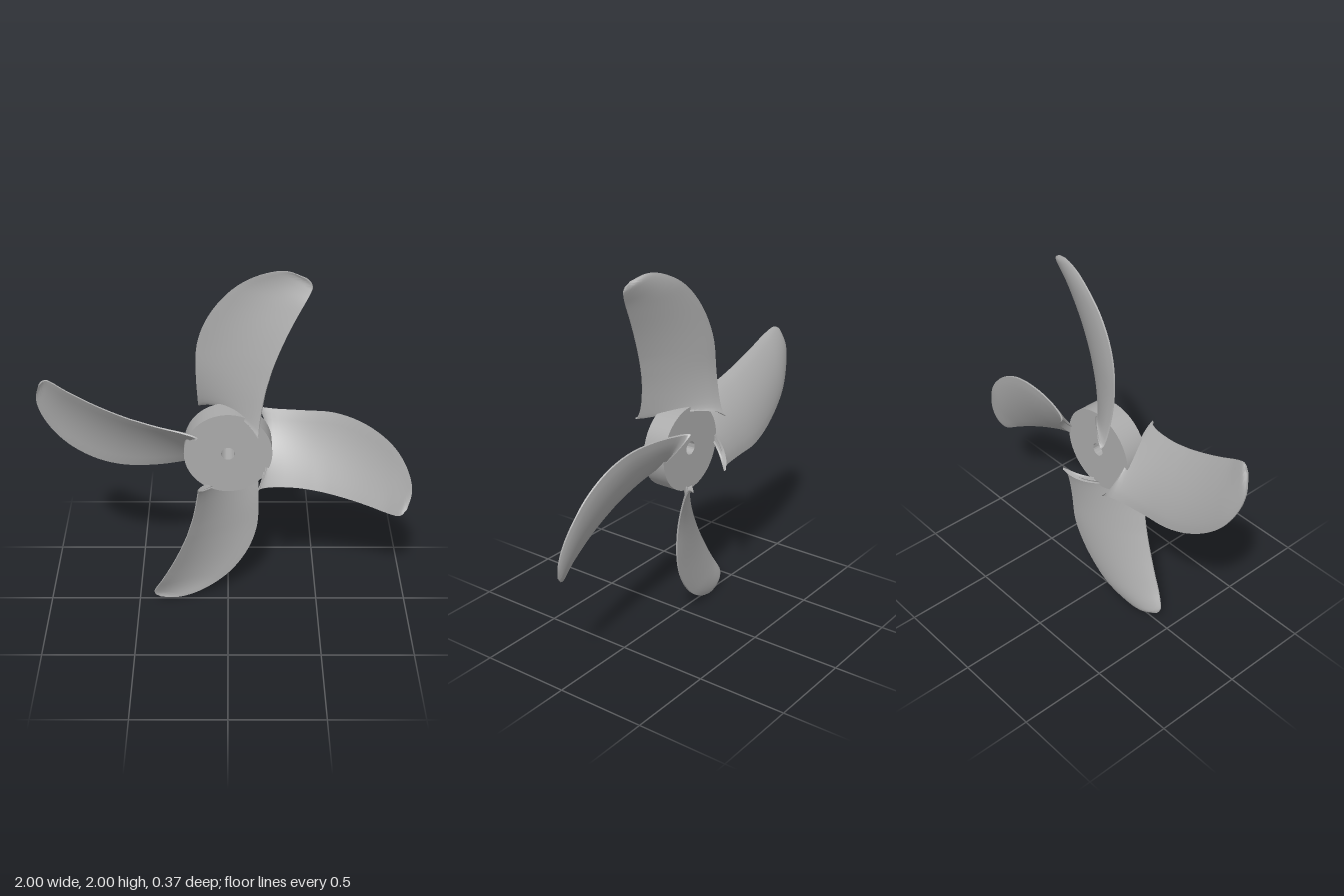
import * as THREE from 'three';
import { toCreasedNormals } from 'three/addons/utils/BufferGeometryUtils.js';

const HUB_RADIUS = 0.233, HUB_DEPTH = 0.13, ROOT_RADIUS = 0.222;

// Blade edges from root to tip, measured from the hub centre
const curve = (pts) => new THREE.CatmullRomCurve3(pts.map((p) => new THREE.Vector3(...p)));
const leading = curve([
  [-0.155, 0.157, -0.18], [-0.16, 0.25, -0.14], [-0.167, 0.4, -0.108], [-0.16, 0.56, -0.095],
  [-0.115, 0.7, -0.08], [-0.03, 0.83, -0.065], [0.07, 0.92, -0.052], [0.19, 0.98, -0.03],
  [0.29, 0.998, -0.012], [0.38, 0.975, 0.015],
]);
const trailing = curve([
  [0.155, 0.157, 0.18], [0.162, 0.24, 0.14], [0.19, 0.4, 0.105], [0.235, 0.54, 0.088],
  [0.285, 0.665, 0.075], [0.335, 0.77, 0.062], [0.375, 0.845, 0.052], [0.405, 0.9, 0.038],
  [0.416, 0.93, 0.03], [0.41, 0.95, 0.025],
]);

// Point on the blade: s root to tip, v across the chord, side +1 front / -1 back
function bladePoint(s, v, side) {
  const a = leading.getPoint(s), b = trailing.getPoint(s);
  const p = a.clone().lerp(b, v);
  const normal = new THREE.Vector3(a.z - b.z, 0, b.x - a.x).normalize();
  const arch = 4 * v * (1 - v);
  const thickness = 0.008 + 0.024 * (1 - 0.75 * s) * Math.sqrt(arch);
  const camber = -0.08 * a.distanceTo(b) * arch;
  p.addScaledVector(normal, camber + side * thickness / 2);
  // the root follows the round hub
  const onHub = Math.sqrt(Math.max(0, ROOT_RADIUS ** 2 - p.x ** 2));
  p.y += (onHub - p.y) * (1 - s) ** 12 * (s < 0.3 ? 1 : 0);
  return p;
}

function bladeGeometry(rows = 36, cols = 14) {
  const positions = [], index = [];
  const ring = 2 * (cols + 1);
  for (let i = 0; i <= rows; i++) {
    for (let j = 0; j <= cols; j++) positions.push(...bladePoint(i / rows, j / cols, 1).toArray());
    for (let j = cols; j >= 0; j--) positions.push(...bladePoint(i / rows, j / cols, -1).toArray());
  }
  // faces and edges
  for (let i = 0; i < rows; i++) {
    for (let j = 0; j < ring; j++) {
      const a = i * ring + j, b = i * ring + (j + 1) % ring;
      index.push(a, b, b + ring, a, b + ring, a + ring);
    }
  }
  // root and tip caps
  const last = rows * ring;
  for (let j = 0; j < cols; j++) {
    const a = j, b = j + 1, c = ring - 2 - j, d = ring - 1 - j;
    index.push(a, c, b, a, d, c);
    index.push(last + a, last + b, last + c, last + a, last + c, last + d);
  }
  const geo = new THREE.BufferGeometry();
  geo.setAttribute('position', new THREE.Float32BufferAttribute(positions, 3));
  geo.setIndex(index);
  return toCreasedNormals(geo, 0.7);
}

export function createModel() {
  const metal = new THREE.MeshStandardMaterial({ color: 0xaaaaaa });
  metal.name = 'grey metal';
  const model = new THREE.Group();
  model.name = 'propeller';

  // Hub with shaft hole
  const disc = new THREE.Shape().absarc(0, 0, HUB_RADIUS, 0, Math.PI * 2);
  disc.holes.push(new THREE.Path().absarc(0, 0, 0.036, 0, Math.PI * 2, true));
  const hubGeo = new THREE.ExtrudeGeometry(disc, { depth: HUB_DEPTH, bevelEnabled: false, curveSegments: 48 });
  hubGeo.translate(0, 0, -HUB_DEPTH / 2);
  const hub = new THREE.Mesh(toCreasedNormals(hubGeo, 0.6), metal);
  hub.name = 'hub';
  hub.position.y = 1;
  model.add(hub);

  // Four twisted blades
  const bladeGeo = bladeGeometry();
  ['top', 'right', 'bottom', 'left'].forEach((place, i) => {
    const blade = new THREE.Mesh(bladeGeo, metal);
    blade.name = `blade ${i + 1}`;
    blade.position.y = 1;
    blade.rotation.z = -i * Math.PI / 2;
    model.add(blade);
  });
  return model;
}
